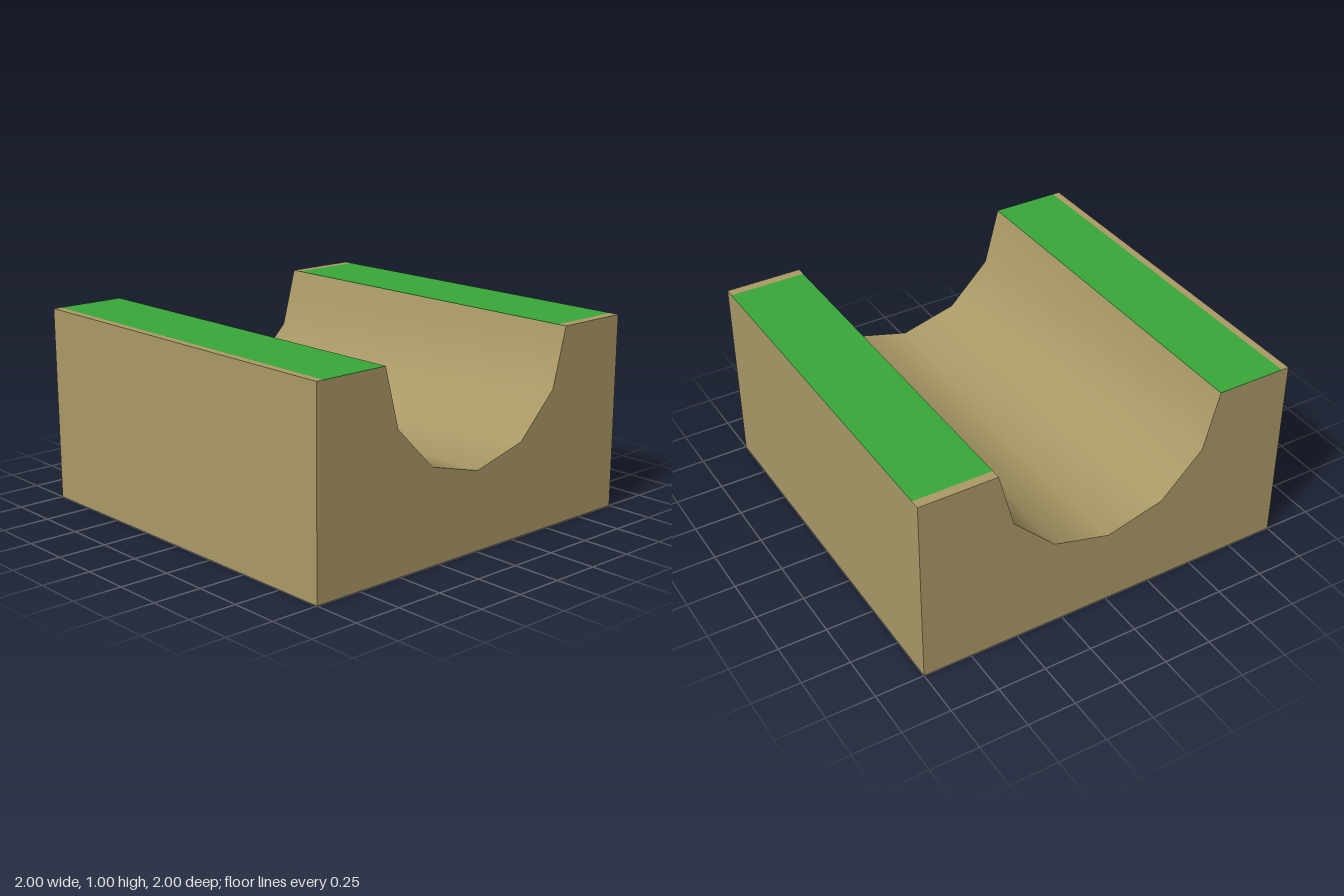
import * as THREE from 'three';
import { toCreasedNormals } from 'three/addons/utils/BufferGeometryUtils.js';

const T = 0.002; // thickness of the painted plates

export function createModel() {
  const earth = new THREE.MeshStandardMaterial({ color: 0xaa9966 });
  earth.name = 'earth';
  const grass = new THREE.MeshStandardMaterial({ color: 0x39a639 });
  grass.name = 'grass';
  const base = new THREE.MeshStandardMaterial({ color: 0xbbbbbb });
  base.name = 'base grey';

  const model = new THREE.Group();
  model.name = 'channelTile';

  // Block with a rounded trench, swept along x
  const half = [[0.6, 1 - T], [0.52, 0.7], [0.3, 0.48]];
  const trench = [
    ...half,
    [0, 0.4],
    ...half.map(([z, y]) => [-z, y]).reverse(),
  ];
  const outline = [[-1, 1 - T], [-1, T], [1, T], [1, 1 - T], ...trench];
  const shape = new THREE.Shape(outline.map(([z, y]) => new THREE.Vector2(z, y)));
  const sweep = new THREE.ExtrudeGeometry(shape, { depth: 2, bevelEnabled: false });
  sweep.translate(0, 0, -1).rotateY(Math.PI / 2);
  // Smooth inside the trench, sharp at the rims and outer edges
  const block = new THREE.Mesh(toCreasedNormals(sweep, 0.65), earth);
  block.name = 'earthBlock';
  model.add(block);

  // Thin plate covering a rectangle of the top or bottom
  function plate(name, material, x0, x1, z0, z1, y) {
    const mesh = new THREE.Mesh(new THREE.BoxGeometry(x1 - x0, T, z1 - z0), material);
    mesh.position.set((x0 + x1) / 2, y + T / 2, (z0 + z1) / 2);
    mesh.name = name;
    model.add(mesh);
  }

  // Bank tops: grass with bare earth margins
  const top = 1 - T;
  plate('frontGrass', grass, -1, 1, 0.6, 0.96, top);
  plate('frontMargin', earth, -1, 1, 0.96, 1, top);
  plate('backGrass', grass, -0.95, 0.95, -1, -0.6, top);
  for (const [side, x] of [['left', 0.95], ['right', -1]]) {
    plate(side + 'BackMargin', earth, x, x + 0.05, -1, -0.6, top);
  }

  // Underside: grey panel with earth margins
  plate('undersidePanel', base, -0.95, 0.95, -0.95, 1, 0);
  plate('undersideBackMargin', earth, -0.95, 0.95, -1, -0.95, 0);
  for (const [side, x] of [['left', 0.95], ['right', -1]]) {
    plate(side + 'UndersideMargin', earth, x, x + 0.05, -1, 1, 0);
  }

  return model;
}
